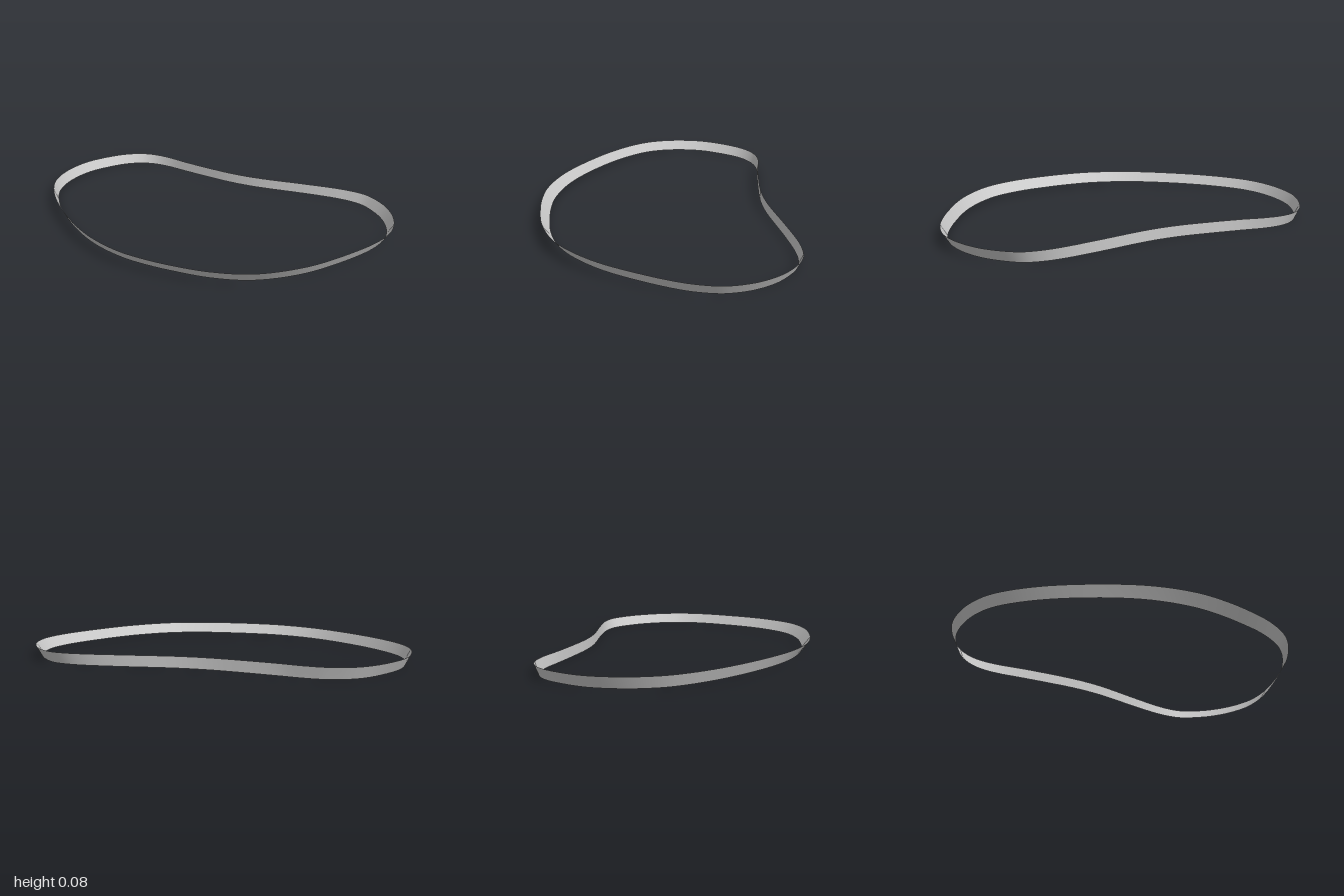
import * as THREE from 'three';

// Outline of the upper rim: [x, z, inward lean of the lower edge]
const OUTLINE = [
  [0.1, 0.667, 0.047], [0.3, 0.653, 0.045], [0.5, 0.588, 0.042], [0.7, 0.425, 0.037],
  [0.86, 0.2, 0.034], [0.955, 0.02, 0.034], [0.99, -0.1, 0.035], [0.995, -0.17, 0.035],
  [0.975, -0.29, 0.034], [0.92, -0.41, 0.032], [0.85, -0.495, 0.03], [0.77, -0.555, 0.024],
  [0.68, -0.578, 0.016], [0.58, -0.583, 0.01], [0.4, -0.572, 0.004], [0.1, -0.55, 0.001],
  [-0.07, -0.56, 0.001], [-0.25, -0.592, 0.001], [-0.4, -0.625, 0.003], [-0.53, -0.66, 0.009],
  [-0.63, -0.672, 0.015], [-0.72, -0.658, 0.022], [-0.81, -0.605, 0.025], [-0.9, -0.5, 0.029],
  [-0.97, -0.37, 0.029], [-0.998, -0.22, 0.028], [-0.99, -0.09, 0.027], [-0.95, 0.03, 0.026],
  [-0.82, 0.212, 0.026], [-0.6, 0.415, 0.027], [-0.4, 0.552, 0.034], [-0.2, 0.634, 0.042],
  [-0.05, 0.66, 0.045],
];

export function createModel() {
  const group = new THREE.Group();
  const SEGMENTS = 198;

  // The curve's y carries the lean, so it is interpolated with the outline
  const curve = new THREE.CatmullRomCurve3(
    OUTLINE.map(([x, z, lean]) => new THREE.Vector3(x, lean, z)), true);

  const positions = [];
  const index = [];
  for (let i = 0; i < SEGMENTS; i++) {
    const p = curve.getPoint(i / SEGMENTS);
    const t = curve.getTangent(i / SEGMENTS);
    const length = Math.hypot(t.x, t.z);
    const x = p.x + p.y * t.z / length;
    const z = p.z - p.y * t.x / length;
    // Upper and lower edges lie on parallel planes that rise towards the front
    positions.push(p.x, 0.0705 + 0.0187 * p.z, p.z);
    positions.push(x, 0.0128 + 0.0195 * z, z);

    const a = 2 * i;
    const b = 2 * ((i + 1) % SEGMENTS);
    index.push(a, a + 1, b + 1, a, b + 1, b);
  }

  // Thin closed band, visible from both sides
  const geometry = new THREE.BufferGeometry();
  geometry.setAttribute('position', new THREE.Float32BufferAttribute(positions, 3));
  geometry.setIndex(index);
  geometry.computeVertexNormals();

  const band = new THREE.Mesh(geometry, new THREE.MeshStandardMaterial({
    color: 0xcccccc, side: THREE.DoubleSide,
  }));
  band.name = 'rimBand';
  group.add(band);
  return group;
}
